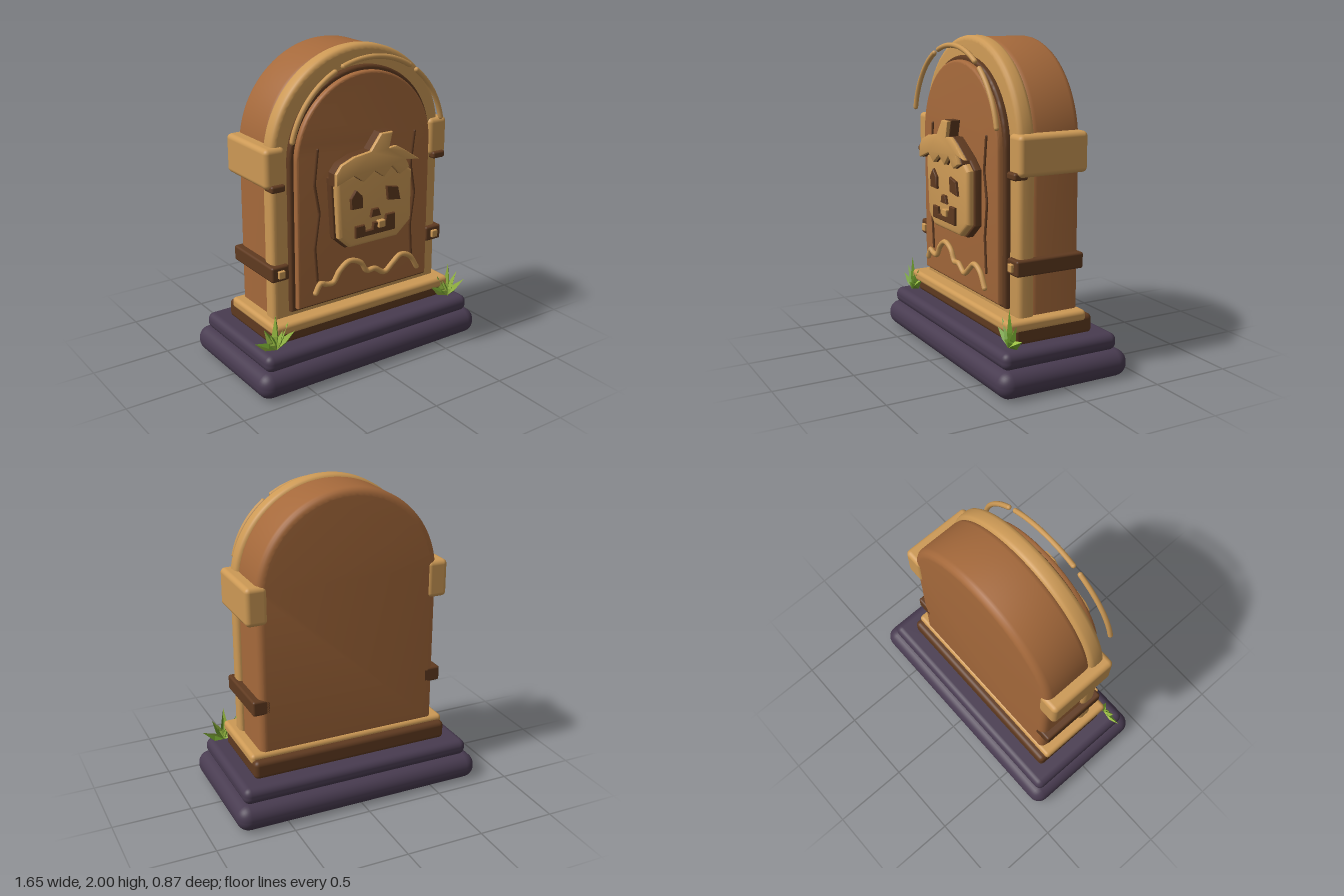
import * as THREE from 'three';
import { toCreasedNormals } from 'three/addons/utils/BufferGeometryUtils.js';
import { RoundedBoxGeometry } from 'three/addons/geometries/RoundedBoxGeometry.js';

const material = (name, color, extra = {}) => {
  const m = new THREE.MeshStandardMaterial({ color, ...extra });
  m.name = name;
  return m;
};

export function createModel() {
  const group = new THREE.Group();
  const cream = material('light wood', 0xcc9955);
  const brown = material('mid wood', 0xa5693b);
  const dark = material('dark wood', 0x5f3a20);
  const stone = material('purple stone', 0x483b50);
  const leafLight = material('light leaf', 0x9cc044, { side: THREE.DoubleSide });
  const leafDark = material('dark leaf', 0x6c9a2c, { side: THREE.DoubleSide });

  const add = (name, geometry, mat, parent = group) => {
    const mesh = new THREE.Mesh(geometry, mat);
    mesh.name = name;
    parent.add(mesh);
    return mesh;
  };

  // Rounded box given by its limits on each axis
  const box = (name, mat, [x0, x1], [y0, y1], [z0, z1], radius) => {
    const g = new RoundedBoxGeometry(x1 - x0, y1 - y0, z1 - z0, 4, radius);
    g.translate((x0 + x1) / 2, (y0 + y1) / 2, (z0 + z1) / 2);
    return add(name, g, mat);
  };

  // Bevelled slab between two depths; the outline stays the outer limit
  const slab = (name, mat, shape, z0, z1, bevel, segments = 3) => {
    const g = new THREE.ExtrudeGeometry(shape, {
      depth: z1 - z0 - 2 * bevel, bevelEnabled: bevel > 0, bevelThickness: bevel,
      bevelSize: bevel, bevelOffset: -bevel, bevelSegments: segments, curveSegments: 40,
    });
    g.translate(0, 0, z0 + bevel);
    return add(name, toCreasedNormals(g, 0.6), mat);
  };

  const arch = (half, bottom, top) => {
    const s = new THREE.Shape();
    s.moveTo(-half, bottom);
    s.lineTo(half, bottom);
    s.lineTo(half, top - half);
    s.absarc(0, top - half, half, 0, Math.PI, false);
    s.closePath();
    return s;
  };

  const poly = (points) => new THREE.Shape(points.map(([x, y]) => new THREE.Vector2(x, y)));

  const tube = (name, mat, points, z, radius, tension = 0.5) => {
    const path = points.map(([x, y]) => new THREE.Vector3(x, y, z));
    const curve = new THREE.CatmullRomCurve3(path, false, 'catmullrom', tension);
    add(name, new THREE.TubeGeometry(curve, 60, radius, 8), mat);
    // End caps
    for (const p of [path[0], path[path.length - 1]]) {
      add(name + 'End', new THREE.SphereGeometry(radius, 8, 6).translate(p.x, p.y, p.z), mat);
    }
  };

  // Stepped base
  box('lowerBase', stone, [-0.825, 0.825], [0, 0.165], [-0.437, 0.437], 0.078);
  box('upperBase', stone, [-0.77, 0.77], [0.16, 0.265], [-0.38, 0.395], 0.045);
  box('darkPlinth', dark, [-0.66, 0.66], [0.255, 0.375], [-0.268, 0.27], 0.03);
  box('lightPlinth', cream, [-0.665, 0.665], [0.335, 0.405], [-0.222, 0.31], 0.025);

  // Arched body, rim and panel
  slab('body', brown, arch(0.595, 0.38, 1.99), -0.21, 0.13, 0.045, 4);
  slab('rim', cream, arch(0.615, 0.38, 2), 0.108, 0.215, 0.03);
  slab('panelFrame', dark, arch(0.513, 0.44, 1.882), 0.2, 0.25, 0.015);
  slab('panel', brown, arch(0.487, 0.465, 1.855), 0.23, 0.285, 0.015);

  // Raised arcs in front of the rim
  for (const [from, to] of [[12.5, 52], [59, 110], [116.5, 166]]) {
    const points = [];
    for (let i = 0; i <= 10; i++) {
      const a = THREE.MathUtils.degToRad(from + (to - from) * i / 10);
      points.push([0.553 * Math.cos(a), 1.39 + 0.553 * Math.sin(a)]);
    }
    tube('archTrim', cream, points, 0.32, 0.016);
  }

  // Side brackets and straps
  for (const s of [-1, 1]) {
    const span = (a, b) => (s > 0 ? [a, b] : [-b, -a]);
    box('bracket', cream, span(0.527, 0.665), [1.235, 1.475], [-0.218, 0.24], 0.03);
    box('bracketFoot', dark, span(0.545, 0.64), [1.218, 1.262], [0.17, 0.262], 0.014);
    box('strap', dark, span(0.52, 0.64), [0.658, 0.755], [-0.21, 0.243], 0.014);
    box('stud', cream, span(0.557, 0.602), [0.682, 0.73], [0.23, 0.262], 0.006);
  }

  // Pumpkin head
  const head = [[-0.285, 1.26], [-0.262, 0.885], [-0.18, 0.81], [0.19, 0.81],
    [0.298, 0.9], [0.298, 1.235], [0.21, 1.31], [-0.2, 1.31]];
  slab('headBacking', dark, poly(head), 0.28, 0.332, 0.01);
  slab('head', cream, poly(head.map(([x, y]) => [0.005 + (x - 0.005) * 0.96, 1.06 + (y - 1.06) * 0.96])),
    0.315, 0.375, 0.025);

  // Leafy cap with stem
  const cap = [[-0.3, 1.31], [-0.26, 1.36], [-0.17, 1.395], [-0.05, 1.41], [0.025, 1.508],
    [0.108, 1.508], [0.083, 1.41], [0.14, 1.415], [0.2, 1.38], [0.32, 1.3], [0.215, 1.315],
    [0.242, 1.265], [0.17, 1.23], [0.11, 1.295], [0.05, 1.235], [-0.02, 1.285],
    [-0.1, 1.23], [-0.17, 1.28], [-0.3, 1.235]];
  slab('capBacking', dark, poly(cap), 0.325, 0.388, 0.004, 1);
  slab('cap', cream, poly(cap.map(([x, y]) => [x * 0.985 - 0.002, 1.36 + (y - 1.36) * 0.98])),
    0.38, 0.41, 0.008, 2);

  // Face
  const features = {
    rightEye: [[-0.182, 1.135], [-0.145, 1.185], [-0.098, 1.14], [-0.093, 1.065], [-0.178, 1.068]],
    leftEye: [[0.08, 1.168], [0.165, 1.15], [0.185, 1.065], [0.09, 1.078]],
    nose: [[-0.025, 1.042], [0.022, 1.042], [0.04, 0.992], [-0.037, 0.992]],
    mouth: [[-0.147, 0.955], [-0.078, 0.955], [-0.075, 0.912], [-0.02, 0.915], [-0.015, 0.955],
      [0.075, 0.955], [0.08, 0.988], [0.147, 0.988], [0.147, 0.88], [-0.147, 0.88]],
  };
  for (const [name, points] of Object.entries(features)) {
    slab(name, dark, poly(points), 0.37, 0.393, 0.004, 1);
  }
  box('tooth', cream, [0.013, 0.063], [0.918, 0.963], [0.375, 0.408], 0.006);

  // Wavy vine and cracks on the panel
  tube('vine', cream, [[-0.385, 0.56], [-0.35, 0.614], [-0.31, 0.6], [-0.255, 0.6], [-0.21, 0.665],
    [-0.138, 0.71], [-0.055, 0.68], [-0.01, 0.615], [0.053, 0.615], [0.127, 0.572],
    [0.195, 0.62], [0.255, 0.66], [0.33, 0.63], [0.385, 0.545]], 0.315, 0.017);
  const crackY = [1.44, 1.235, 1.05, 0.84, 0.63];
  const crackX = { right: [-0.347, -0.37, -0.338, -0.37, -0.355], left: [0.363, 0.337, 0.37, 0.343, 0.358] };
  for (const [side, xs] of Object.entries(crackX)) {
    tube(side + 'Crack', dark, xs.map((x, i) => [x, crackY[i]]), 0.288, 0.009, 0.05);
  }

  // Grass tufts: folded blades, half light and half dark
  const blade = (length, width, sign) => {
    const g = new THREE.BufferGeometry();
    const y = length * 0.4;
    g.setAttribute('position', new THREE.Float32BufferAttribute([
      0, 0, 0, sign * width, y, -0.012, 0, y, 0.012,
      0, y, 0.012, sign * width, y, -0.012, 0, length, -0.004], 3));
    if (sign < 0) g.setIndex([0, 2, 1, 3, 5, 4]);
    else g.setIndex([0, 1, 2, 3, 4, 5]);
    g.computeVertexNormals();
    return g;
  };
  const tips = [[-0.145, 0.1], [-0.09, 0.16], [0, 0.23], [0.08, 0.155], [0.145, 0.08], [-0.045, 0.12], [0.04, 0.11]];
  for (const s of [-1, 1]) {
    const tuft = new THREE.Group();
    tuft.name = s > 0 ? 'leftGrass' : 'rightGrass';
    tuft.position.set(s * 0.662, 0.262, 0.31);
    group.add(tuft);
    tips.forEach(([x, y], i) => {
      const length = Math.hypot(x, y);
      for (const half of [-1, 1]) {
        const mesh = add('grassBlade', blade(length, 0.026, half), half < 0 ? leafLight : leafDark, tuft);
        mesh.rotation.z = Math.atan2(s * x, y);
        mesh.rotation.z *= -1;
        mesh.position.z = i > 4 ? 0.006 : -0.002 * (i % 2);
      }
    });
  }

  return group;
}
